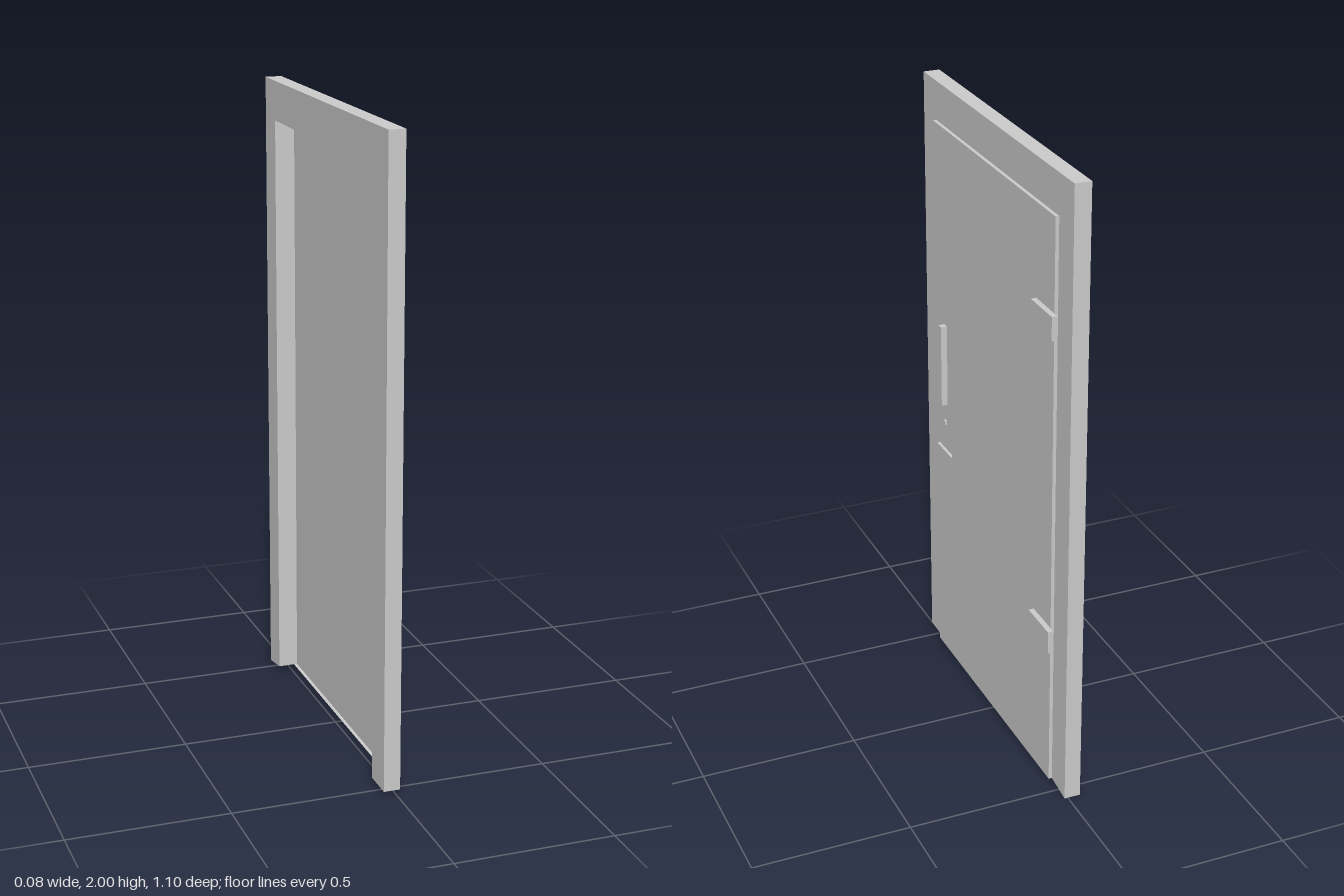
import * as THREE from 'three';

const solid = new THREE.MeshStandardMaterial({ color: 0xcccccc, flatShading: true });
const sheet = new THREE.MeshStandardMaterial({ color: 0xcccccc, flatShading: true, side: THREE.DoubleSide });

// Shape outlines are given as [z, y]; the door faces +x.
const toShape = (pts) => new THREE.Shape(pts.map(([z, y]) => new THREE.Vector2(z, y)));

function add(group, name, geometry, material = solid) {
  const mesh = new THREE.Mesh(geometry, material);
  mesh.name = name;
  group.add(mesh);
  return mesh;
}

function box(group, name, [x0, x1], [y0, y1], [z0, z1]) {
  const mesh = add(group, name, new THREE.BoxGeometry(x1 - x0, y1 - y0, z1 - z0));
  mesh.position.set((x0 + x1) / 2, (y0 + y1) / 2, (z0 + z1) / 2);
}

// Flat panel in the plane x = const
function panel(group, name, pts, x) {
  add(group, name, new THREE.ShapeGeometry(toShape(pts)).rotateY(-Math.PI / 2).translate(x, 0, 0), sheet);
}

// Walls following a closed outline between two x planes
function rim(group, name, pts, x0, x1) {
  const pos = [];
  pts.forEach(([z, y], i) => {
    const [w, v] = pts[(i + 1) % pts.length];
    pos.push(x0, y, z, x0, v, w, x1, v, w, x0, y, z, x1, v, w, x1, y, z);
  });
  const geometry = new THREE.BufferGeometry();
  geometry.setAttribute('position', new THREE.Float32BufferAttribute(pos, 3));
  geometry.computeVertexNormals();
  add(group, name, geometry, sheet);
}

export function createModel() {
  const model = new THREE.Group();
  model.name = 'door';

  const frameBack = -0.041, frameFront = 0.011, doorFront = 0.022, pocket = 0.0125;
  const zL = 0.449, zR = -0.456, top = 1.875, bottom = 0.015;
  const pz = 0.32, py0 = 0.768, py1 = 1.302; // handle pocket limits

  // Frame: two jambs and a head; the hinge-side jamb has a slanted foot
  const frame = toShape([
    [-0.551, 0], [zR, bottom], [zR, top], [zL, top],
    [zL, 0.017], [0.551, 0.017], [0.551, 2], [-0.551, 2],
  ]);
  add(model, 'frame', new THREE.ExtrudeGeometry(frame, { depth: frameFront - frameBack, bevelEnabled: false })
    .rotateY(-Math.PI / 2).translate(frameFront, 0, 0));

  // Door leaf: open-backed pressed sheet, notched for the handle pocket
  const leaf = [
    [zR, bottom], [zL, bottom], [zL, py0], [pz, py0],
    [pz, py1], [zL, py1], [zL, top], [zR, top],
  ];
  const door = new THREE.Group();
  door.name = 'doorLeaf';
  model.add(door);
  panel(door, 'leafPanel', leaf, doorFront);
  rim(door, 'leafRim', leaf, frameFront, doorFront);
  panel(door, 'handlePlate', [[pz, py0], [zL, py0], [zL, py1], [pz, py1]], pocket);

  // Handle and lock set into the pocket
  box(door, 'handle', [pocket, 0.033], [0.935, 1.212], [0.378, 0.398]);
  box(door, 'lock', [pocket, 0.02], [0.861, 0.874], [0.384, 0.397]);

  // Hinges
  for (const y of [0.525, 1.55]) {
    box(door, 'hinge', [doorFront, 0.039], [y - 0.037, y + 0.037], [-0.476, -0.332]);
  }
  return model;
}
